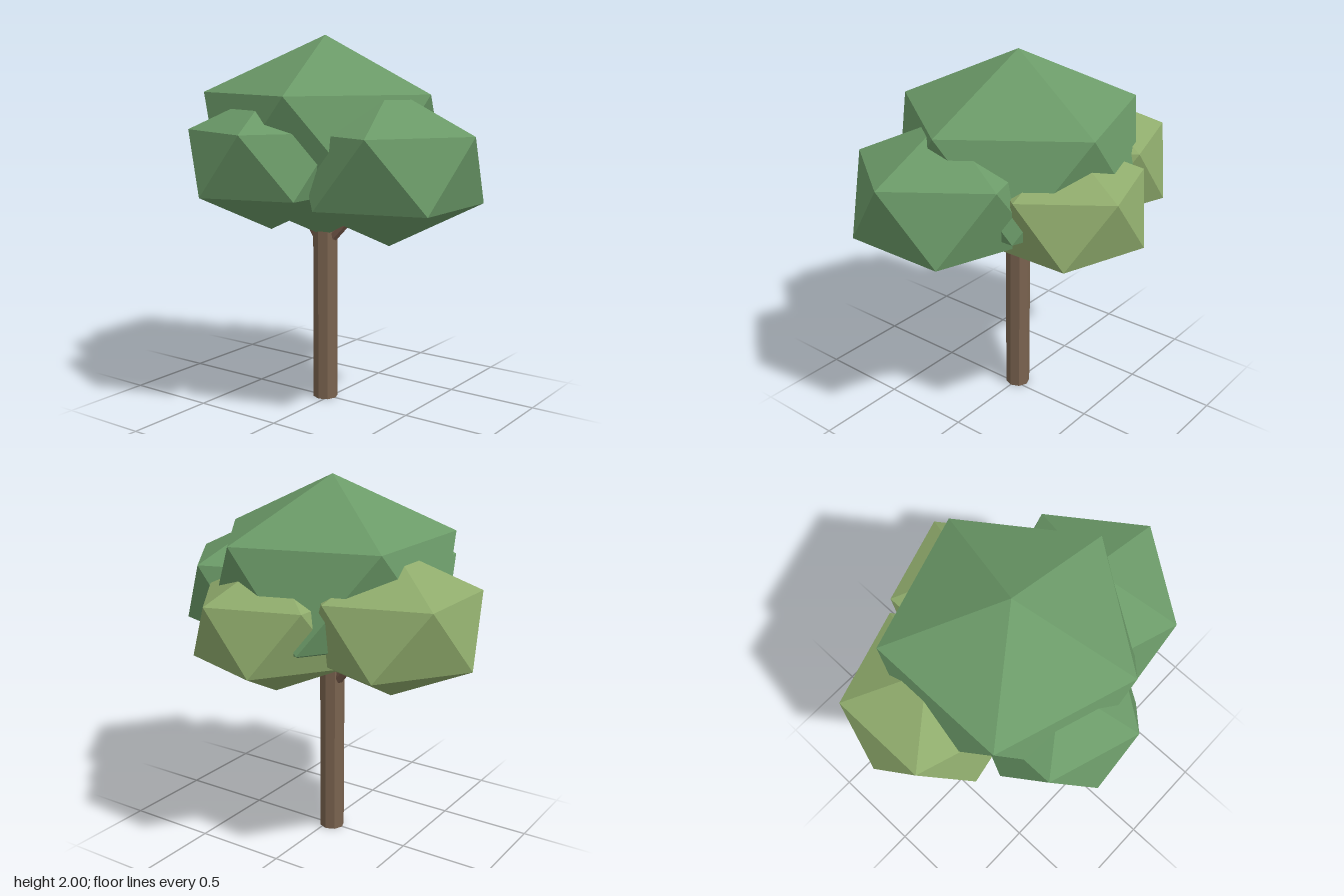
import * as THREE from 'three';

const material = (color) => new THREE.MeshStandardMaterial({ color, flatShading: true });

// Icosahedron turned so that one corner points straight up and the upper ring starts at +x
function foliageGeometry(width, height) {
  const geometry = new THREE.IcosahedronGeometry(1, 0);
  geometry.rotateZ(-Math.atan(2 / (1 + Math.sqrt(5))));
  geometry.scale(width, height, width);
  geometry.computeVertexNormals();
  return geometry;
}

// Eight-sided limb between two points
function limb(name, from, to, radius, mat) {
  const a = new THREE.Vector3(...from);
  const b = new THREE.Vector3(...to);
  const mesh = new THREE.Mesh(new THREE.CylinderGeometry(radius, radius, a.distanceTo(b), 8), mat);
  mesh.name = name;
  mesh.position.copy(a).lerp(b, 0.5);
  mesh.quaternion.setFromUnitVectors(new THREE.Vector3(0, 1, 0), b.sub(a).normalize());
  return mesh;
}

export function createModel() {
  const tree = new THREE.Group();
  tree.name = 'tree';

  const bark = material(0x7a634f);
  const branchBark = material(0x7d604f);
  const green = material(0x6b9a68);
  const olive = material(0x8fab6c);

  // Trunk and the two branches that fork into the side foliage
  tree.add(limb('trunk', [-0.03, 0, 0], [-0.03, 1.1, 0], 0.068, bark));
  tree.add(limb('leftBranch', [-0.03, 0.87, 0], [0.27, 1.2, -0.04], 0.032, branchBark));
  tree.add(limb('rightBranch', [-0.03, 0.85, 0], [-0.33, 1.2, -0.06], 0.032, branchBark));

  // Foliage: name, centre, horizontal radius, vertical radius, material
  const clumps = [
    ['crown', [-0.03, 1.457, 0], 0.727, 0.543, green],
    ['frontFoliage', [-0.1, 1.36, 0.38], 0.47, 0.358, green],
    ['leftFoliage', [0.44, 1.33, 0.09], 0.537, 0.403, green],
    ['rightFoliage', [-0.475, 1.3, -0.13], 0.503, 0.38, olive],
    ['backFoliage', [0.07, 1.27, -0.38], 0.47, 0.358, olive],
  ];
  for (const [name, centre, width, height, mat] of clumps) {
    const mesh = new THREE.Mesh(foliageGeometry(width, height), mat);
    mesh.name = name;
    mesh.position.set(...centre);
    tree.add(mesh);
  }
  return tree;
}
